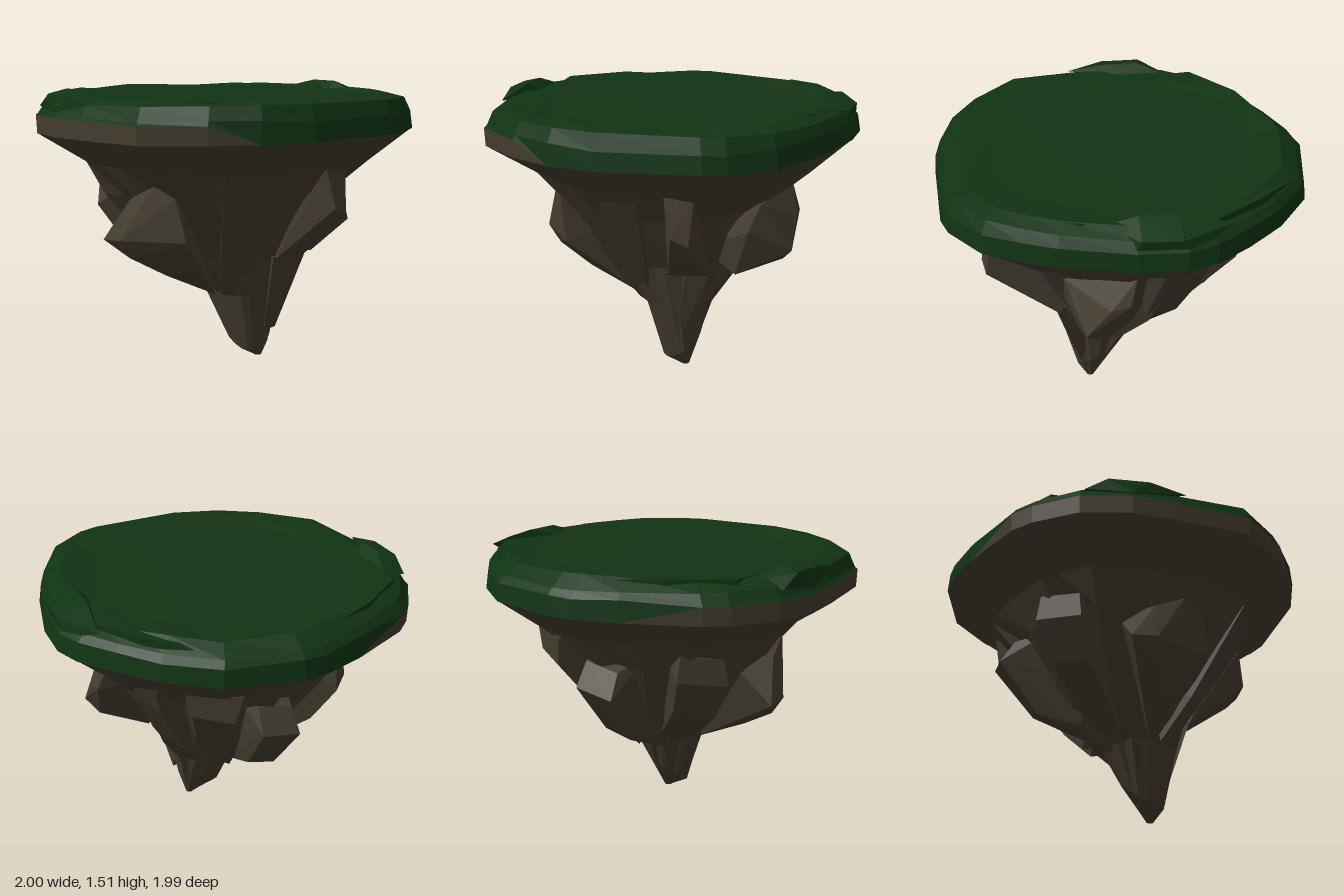
import * as THREE from 'three';
import { ConvexGeometry } from 'three/addons/geometries/ConvexGeometry.js';

// Rim of the island seen from above (x, z), clockwise from the back
const OUTLINE = [
  [0, -1], [0.4, -0.93], [0.65, -0.75], [0.82, -0.56], [0.95, -0.38], [1, -0.23],
  [0.99, 0.02], [0.9, 0.4], [0.83, 0.57], [0.73, 0.76], [0.52, 0.92], [0.4, 0.96],
  [-0.13, 0.99], [-0.4, 0.92], [-0.63, 0.79], [-0.89, 0.55], [-0.97, 0.13], [-1, -0.1],
  [-0.96, -0.37], [-0.82, -0.6], [-0.72, -0.7], [-0.36, -0.89], [-0.13, -0.98],
];
const FLUTES = [1, 0.88, 0.97, 0.92, 1.03, 0.89, 0.98];

const rock = new THREE.MeshStandardMaterial({ color: 0x443d30, flatShading: true });
const grass = new THREE.MeshStandardMaterial({ color: 0x103413, flatShading: true });

// Scaled copy of the outline; y may be a function of the rim point
function ring(y, sx, sz = sx, cx = 0, cz = 0, flute = 0) {
  return OUTLINE.map(([x, z], i) => {
    const f = 1 + (FLUTES[i % FLUTES.length] - 1) * flute;
    return [cx + x * sx * f, typeof y === 'function' ? y(x, z) : y, cz + z * sz * f];
  });
}

// Faceted skin through rings listed from bottom to top
function loft(rings) {
  const pos = [];
  for (let r = 0; r < rings.length - 1; r++) {
    const lo = rings[r], up = rings[r + 1], n = lo.length;
    for (let i = 0; i < n; i++) {
      const j = (i + 1) % n;
      pos.push(...lo[i], ...up[i], ...up[j], ...lo[i], ...up[j], ...lo[j]);
    }
  }
  const g = new THREE.BufferGeometry();
  g.setAttribute('position', new THREE.Float32BufferAttribute(pos, 3));
  g.computeVertexNormals();
  return g;
}

function hull(points) {
  return new ConvexGeometry(points.map((p) => new THREE.Vector3(...p)));
}

// Boulder from a radial profile of [radius, y, half width], turned to an angle (0 = +x, 90 = +z)
function boulder(deg, profile) {
  const a = THREE.MathUtils.degToRad(deg), c = Math.cos(a), s = Math.sin(a);
  const pts = [];
  for (const [r, y, w] of profile) {
    for (const side of [-1, 1]) {
      const t = side * w;
      pts.push([r * c - t * s, y + side * 0.02, r * s + t * c]);
    }
  }
  return hull(pts);
}

export function createModel() {
  const island = new THREE.Group();
  island.name = 'floatingIsland';
  const add = (name, geometry, material) => {
    const mesh = new THREE.Mesh(geometry, material);
    mesh.name = name;
    island.add(mesh);
  };

  // The turf hangs less far down on the -x side, leaving bare rock
  const turfEdge = (x) => (x < -0.6 ? 1.37 : 1.285 + 0.015 * x);

  // Rock body narrowing to an off-centre tip
  add('rockBody', loft([
    ring(0, 0.001, 0.001, 0.12, 0.185),
    ring(0, 0.02, 0.02, 0.12, 0.185),
    ring((x, z) => 0.13 + 0.05 * x - 0.06 * z, 0.11, 0.12, 0.09, 0.14, 0.5),
    ring((x) => 0.36 - 0.03 * x, 0.19, 0.21, 0.05, 0.12, 1),
    ring((x, z) => 0.58 + 0.03 * z, 0.38, 0.38, 0.03, 0.03, 1),
    ring(0.93, 0.6, 0.61, -0.03, 0, 0.8),
    ring(1.11, 0.76, 0.75, 0.02, 0.01, 0.1),
    ring((x) => 1.285 + 0.015 * x, 0.995),
    ring((x) => turfEdge(x), 1),
  ]), rock);

  // Overhanging boulders on the flanks
  add('rightBoulder', hull([
    [0.67, 1.04, -0.02], [0.72, 0.9, 0.02], [0.72, 0.73, 0.25], [0.66, 0.66, 0.18],
    [0.72, 0.88, 0.12], [0.57, 1.0, 0.35], [0.5, 0.84, 0.35], [0.42, 0.58, 0.28],
    [0.4, 0.57, 0.1], [0.3, 0.95, -0.1], [0.2, 0.7, 0.2],
  ]), rock);
  add('leftBoulder', hull([
    [-0.65, 0.93, 0.08], [-0.6, 1.02, 0.25], [-0.73, 0.71, -0.06], [-0.72, 0.72, 0.08],
    [-0.5, 0.73, 0.4], [-0.54, 0.96, 0.36], [-0.65, 0.62, 0.08], [-0.45, 0.51, 0.12],
    [-0.27, 0.46, 0.1], [-0.34, 0.53, 0.25], [-0.14, 0.37, 0.14], [-0.4, 1.0, -0.1],
    [-0.2, 0.8, 0.1],
  ]), rock);
  add('backBoulder', boulder(267, [
    [0.4, 1.02, 0.16], [0.62, 0.94, 0.1], [0.7, 0.81, 0.11], [0.48, 0.53, 0.08],
    [0.25, 0.47, 0.1], [0.19, 0.41, 0.06], [0.05, 0.35, 0.05], [0.15, 0.7, 0.15],
  ]), rock);
  add('backLeftBoulder', boulder(218, [
    [0.4, 1.1, 0.18], [0.67, 1.02, 0.12], [0.68, 0.88, 0.14], [0.54, 0.68, 0.12],
    [0.3, 0.51, 0.1], [0.15, 0.42, 0.08], [0.2, 0.8, 0.15],
  ]), rock);

  // Tapering flanks that run from the underside toward the tip
  add('frontFlank', hull([
    [-0.42, 1.11, 0.63], [0.0, 1.11, 0.74], [-0.34, 0.93, 0.54], [0.0, 0.93, 0.62],
    [-0.25, 0.6, 0.35], [-0.03, 0.6, 0.4], [-0.14, 0.38, 0.2], [-0.07, 0.37, 0.26],
    [-0.1, 0.8, 0.1],
  ]), rock);
  for (const [deg, bulge] of [[297, 0.7], [333, 0.64]]) {
    add('backRightFlank', boulder(deg, [
      [0.5, 1.11, 0.22], [0.71, 1.1, 0.15], [bulge, 0.94, 0.11], [0.42, 0.6, 0.1],
      [0.2, 0.4, 0.06], [0.1, 0.8, 0.1],
    ]), rock);
  }

  // Jutting buttress running down the front to the tip
  add('frontOutcrop', hull([
    [0.15, 1.11, 0.74], [0.3, 1.11, 0.71], [0.28, 0.86, 0.75], [0.19, 0.9, 0.77],
    [0.23, 0.77, 0.67], [0.08, 0.59, 0.41], [0.3, 0.58, 0.36], [0.1, 0.8, 0.5],
    [0.2, 0.8, 0.2],
  ]), rock);
  add('frontButtress', hull([
    [0.06, 0.6, 0.41], [0.3, 0.6, 0.38], [0.2, 0.16, 0.24], [0.1, 0.16, 0.27],
    [0.15, 0.6, 0.1],
  ]), rock);

  // Grass slab with a softly dished top
  add('grassTop', loft([
    ring((x) => turfEdge(x), 1),
    ring((x) => 1.39 + 0.01 * Math.sin(9 * x), 0.985, 0.99),
    ring((x, z) => 1.445 + 0.025 * z, 0.95, 0.96),
    ring((x, z) => 1.478 + 0.008 * Math.sin(7 * x + 4 * z), 0.87),
    ring(1.468, 0.7),
    ring(1.478, 0.001, 0.001, 0.28, 0.27),
  ]), grass);

  // Low turf banks: each rises from a straight inner crease to a crest near the rim
  const banks = [
    [[-0.23, -0.83], [-0.77, -0.14], [-0.78, -0.5], [-0.5, -0.72]],
    [[-0.77, -0.14], [-0.35, 0.78], [-0.56, 0.66], [-0.8, 0.38]],
    [[0.5, -0.82], [0.75, 0], [0.84, -0.38], [0.7, -0.6]],
    [[0.75, 0], [0.46, 0.8], [0.64, 0.66], [0.82, 0.28]],
  ];
  for (const [a, b, c, d] of banks) {
    add('turfBank', hull([
      [a[0], 1.465, a[1]], [b[0], 1.465, b[1]], [c[0], 1.48, c[1]], [d[0], 1.484, d[1]],
      [c[0], 1.42, c[1]], [d[0], 1.42, d[1]],
    ]), grass);
  }

  // Raised turf ridges along both sides
  add('leftRidge', hull([
    [-0.96, 1.49, -0.22], [-0.86, 1.515, -0.2], [-0.86, 1.515, -0.02], [-0.96, 1.49, 0],
    [-0.8, 1.46, -0.36], [-0.8, 1.46, -0.1], [-0.93, 1.45, 0.2], [-0.985, 1.4, -0.1],
    [-0.95, 1.42, -0.34],
  ]), grass);
  add('rightRidge', hull([
    [0.82, 1.515, -0.2], [0.82, 1.515, 0], [0.98, 1.46, -0.2], [0.97, 1.46, 0],
    [0.75, 1.46, 0], [0.86, 1.47, -0.47], [0.8, 1.46, 0.17], [0.97, 1.38, -0.25],
    [0.96, 1.38, 0.04],
  ]), grass);

  return island;
}
